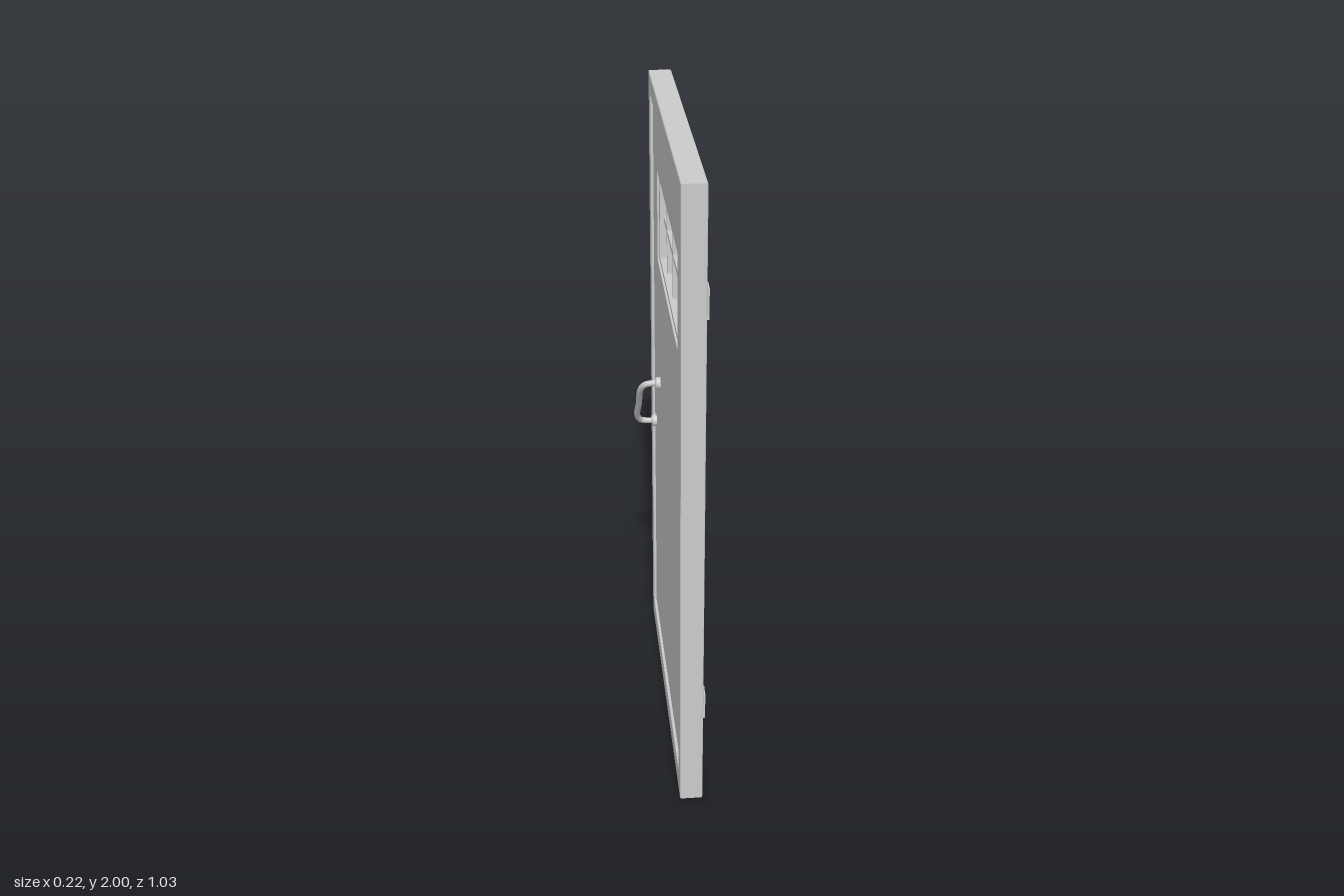
import * as THREE from 'three';

const material = new THREE.MeshStandardMaterial({ color: 0xcccccc });

function add(parent, name, geometry, x = 0, y = 0, z = 0) {
  const mesh = new THREE.Mesh(geometry, material);
  mesh.name = name;
  mesh.position.set(x, y, z);
  parent.add(mesh);
  return mesh;
}

// Rectangle outline in the door plane (z across, y up)
function rect(z0, z1, y0, y1, Type = THREE.Shape) {
  return new Type([[z0, y0], [z1, y0], [z1, y1], [z0, y1]].map(p => new THREE.Vector2(...p)));
}

// Flat slab with an optional rectangular opening, extruded between x0 and x1
function slab(outer, hole, x0, x1, bevel = 0) {
  const shape = rect(...outer);
  if (hole) shape.holes.push(rect(...hole, THREE.Path));
  const geometry = new THREE.ExtrudeGeometry(shape, {
    depth: x1 - x0 - 2 * bevel, bevelEnabled: bevel > 0, bevelSize: bevel,
    bevelThickness: bevel, bevelOffset: -bevel, bevelSegments: 2,
  });
  return geometry.rotateY(-Math.PI / 2).translate(x1 - bevel, 0, 0);
}

// Box given by its limits on each axis
function block(parent, name, x0, x1, y0, y1, z0, z1) {
  return add(parent, name, new THREE.BoxGeometry(x1 - x0, y1 - y0, z1 - z0),
    (x0 + x1) / 2, (y0 + y1) / 2, (z0 + z1) / 2);
}

// Slanted bow handle with a round foot at each end; side is +1 or -1
function makeHandle(side) {
  const handle = new THREE.Group();
  handle.name = side > 0 ? 'leftHandle' : 'rightHandle';
  const top = side > 0 ? -0.41 : -0.25, bottom = -0.66 - top;
  const profile = [[0, 0.02], [0, 0.06], [0.03, 0.08], [0.15, 0.093], [0.5, 0.095],
    [0.85, 0.097], [0.97, 0.085], [1, 0.065], [1, 0.02]];
  const path = new THREE.CatmullRomCurve3(profile.map(([t, out]) =>
    new THREE.Vector3(side * out, 1.06 - 0.22 * t, top + (bottom - top) * t)));
  add(handle, 'grip', new THREE.TubeGeometry(path, 64, 0.01, 12));
  const face = side > 0 ? 0.02 : 0.03;
  for (const [y, z] of [[1.06, top], [0.84, bottom]]) {
    const foot = new THREE.LatheGeometry([[0.02, -0.005], [0.02, 0.012], [0.016, 0.018], [0, 0.02]]
      .map(p => new THREE.Vector2(...p)), 20);
    add(handle, 'handleFoot', foot, side * face, y, z).rotation.z = -side * Math.PI / 2;
  }
  return handle;
}

// Two leaves joined by a knuckle, bridging frame and panel
function makeHinge(y) {
  const hinge = new THREE.Group();
  hinge.name = 'hinge';
  block(hinge, 'frameLeaf', 0.025, 0.036, y - 0.045, y + 0.045, 0.475, 0.511);
  block(hinge, 'panelLeaf', 0.018, 0.036, y - 0.043, y + 0.043, 0.432, 0.466);
  for (const dy of [-0.022, 0.022])
    add(hinge, 'knuckle', new THREE.CylinderGeometry(0.008, 0.008, 0.04, 12), 0.03, y + dy, 0.471);
  return hinge;
}

// Upright latch ear with a hole through it
function makeEar(z) {
  const shape = new THREE.Shape();
  shape.moveTo(0.02, 1.2).lineTo(0.058, 1.2).quadraticCurveTo(0.066, 1.2, 0.066, 1.208)
    .lineTo(0.066, 1.232).quadraticCurveTo(0.066, 1.24, 0.058, 1.24).lineTo(0.02, 1.24);
  shape.holes.push(new THREE.Path().absarc(0.052, 1.22, 0.009, 0, Math.PI * 2, true));
  return new THREE.ExtrudeGeometry(shape, { depth: 0.005, bevelEnabled: false, curveSegments: 10 })
    .translate(0, 0, z);
}

export function createModel() {
  const door = new THREE.Group();
  door.name = 'door';

  // Frame and recessed panel
  add(door, 'frame', slab([-0.515, 0.515, 0, 2], [-0.465, 0.465, 0.07, 1.935], -0.04, 0.03, 0.004));
  add(door, 'panel', slab([-0.47, 0.47, 0.065, 1.94], [-0.325, 0.335, 1.455, 1.745], -0.031, 0.021));

  // Window surround and bars
  add(door, 'windowSurround', slab([-0.328, 0.338, 1.452, 1.748], [-0.3, 0.325, 1.47, 1.73], -0.025, 0.015));
  for (const z of [0.197, 0.01, -0.18])
    block(door, 'verticalBar', -0.014, 0.004, 1.465, 1.735, z - 0.008, z + 0.008);
  block(door, 'horizontalBar', -0.013, 0.003, 1.592, 1.608, -0.305, 0.33);

  // Handles on both faces
  door.add(makeHandle(1), makeHandle(-1));

  // Hinges
  for (const y of [1.67, 0.355]) door.add(makeHinge(y));

  // Padlock latch
  const latch = new THREE.Group();
  latch.name = 'latch';
  block(latch, 'panelPlate', 0.018, 0.034, 1.2, 1.24, -0.46, -0.412);
  block(latch, 'framePlate', 0.025, 0.036, 1.2, 1.24, -0.513, -0.478);
  add(latch, 'panelEar', makeEar(-0.464));
  add(latch, 'frameEar', makeEar(-0.481));
  door.add(latch);

  return door;
}
